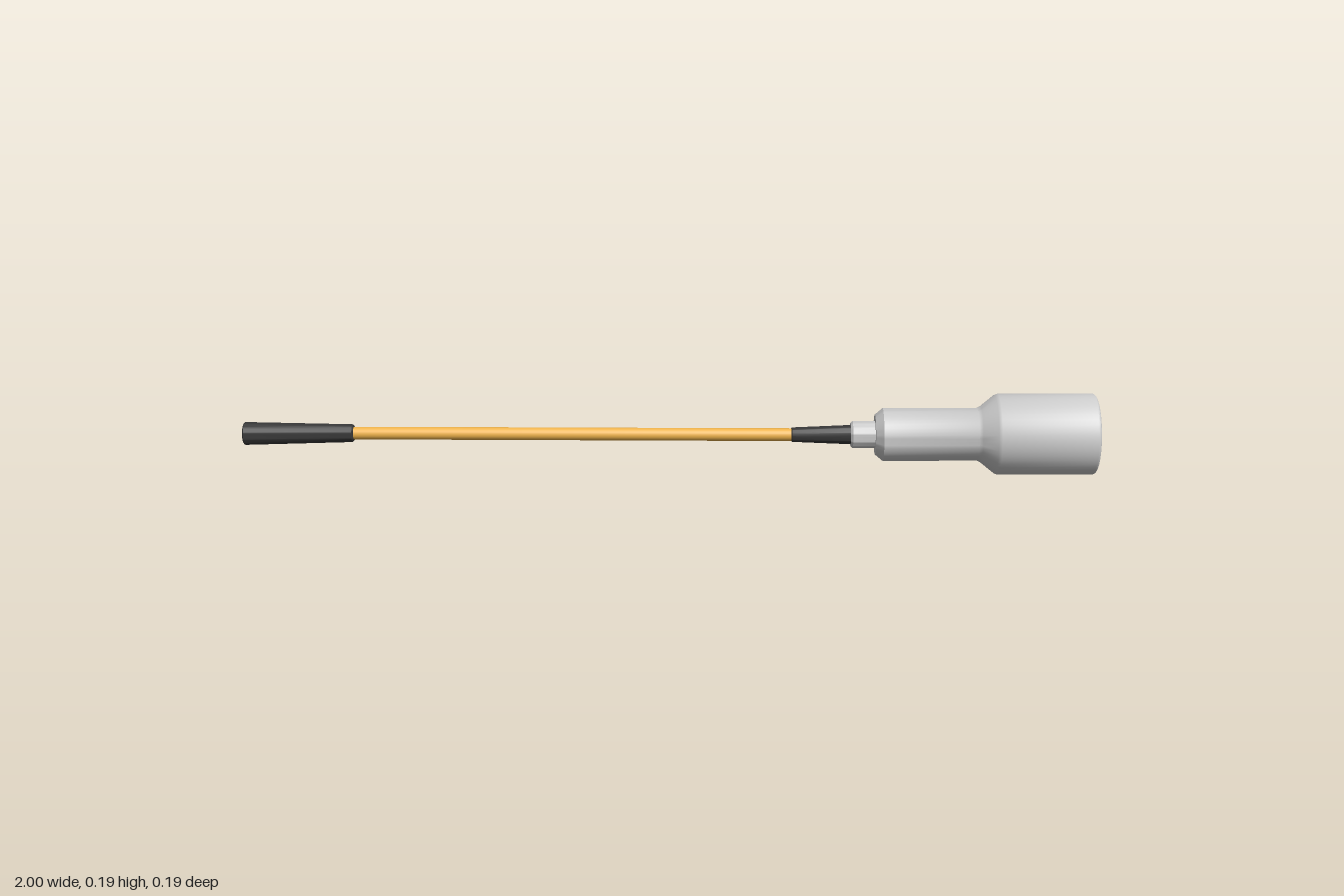
import * as THREE from 'three';
import { toCreasedNormals } from 'three/addons/utils/BufferGeometryUtils.js';

const SIDES = 48;

// Closed lathe whose profile [distance, radius] runs from one point towards another
function turned(name, from, to, profile, material) {
  const points = profile.map(([d, r]) => new THREE.Vector2(r, d));
  const geometry = toCreasedNormals(new THREE.LatheGeometry(points, SIDES), 0.5);
  const mesh = new THREE.Mesh(geometry, material);
  const direction = to.clone().sub(from).normalize();
  mesh.quaternion.setFromUnitVectors(new THREE.Vector3(0, 1, 0), direction);
  mesh.position.copy(from);
  mesh.name = name;
  return mesh;
}

// Sleeve that tapers between two radii, with softened rims
function sleeve(name, from, to, r0, r1, material) {
  const length = from.distanceTo(to);
  const e = 0.003;
  return turned(name, from, to, [
    [0, 0], [0, r0 - e], [e, r0], [length - e, r1], [length, r1 - e], [length, 0],
  ], material);
}

export function createModel() {
  const group = new THREE.Group();
  const grey = new THREE.MeshStandardMaterial({ color: 0xcccccc });
  const dark = new THREE.MeshStandardMaterial({ color: 0x383838 });
  const gold = new THREE.MeshStandardMaterial({ color: 0xf0b44c });

  // Axis points from the grip end to the head
  const gripEnd = new THREE.Vector3(-1, 0.086, 0.024);
  const gripTop = new THREE.Vector3(-0.74, 0.088, 0.019);
  const collarStart = new THREE.Vector3(0.29, 0.0905, 0.003);
  const neck = new THREE.Vector3(0.43, 0.0915, 0.001);
  const headEnd = new THREE.Vector3(1, 0.099, 0);

  // Dark grip, wider at its free end
  group.add(sleeve('grip', gripEnd, gripTop, 0.027, 0.021, dark));

  // Slender shaft, running into the sleeves at both ends
  const path = new THREE.CatmullRomCurve3([gripEnd, gripTop, collarStart, neck]
    .map((p, i) => (i === 0 ? p.clone().lerp(gripTop, 0.5) : p)));
  const shaft = new THREE.Mesh(new THREE.TubeGeometry(path, 32, 0.015, 24), gold);
  shaft.name = 'shaft';
  group.add(shaft);

  // Dark collar between shaft and head
  group.add(sleeve('collar', collarStart, neck.clone().lerp(headEnd, 0.02), 0.017, 0.023, dark));

  // Stepped head: neck, body, shoulder and wide cap with a rounded rim
  const length = neck.distanceTo(headEnd);
  const rim = [];
  for (let i = 0; i <= 6; i++) {
    const a = (i / 6) * Math.PI / 2;
    rim.push([length - 0.009 + 0.009 * Math.sin(a), 0.086 + 0.009 * Math.cos(a)]);
  }
  group.add(turned('head', neck, headEnd, [
    [0, 0], [0, 0.028], [0.005, 0.032], [0.057, 0.032], [0.057, 0.047],
    [0.075, 0.062], [0.295, 0.062], [0.303, 0.066], [0.335, 0.092], [0.343, 0.095],
    ...rim, [length, 0],
  ], grey));

  return group;
}
